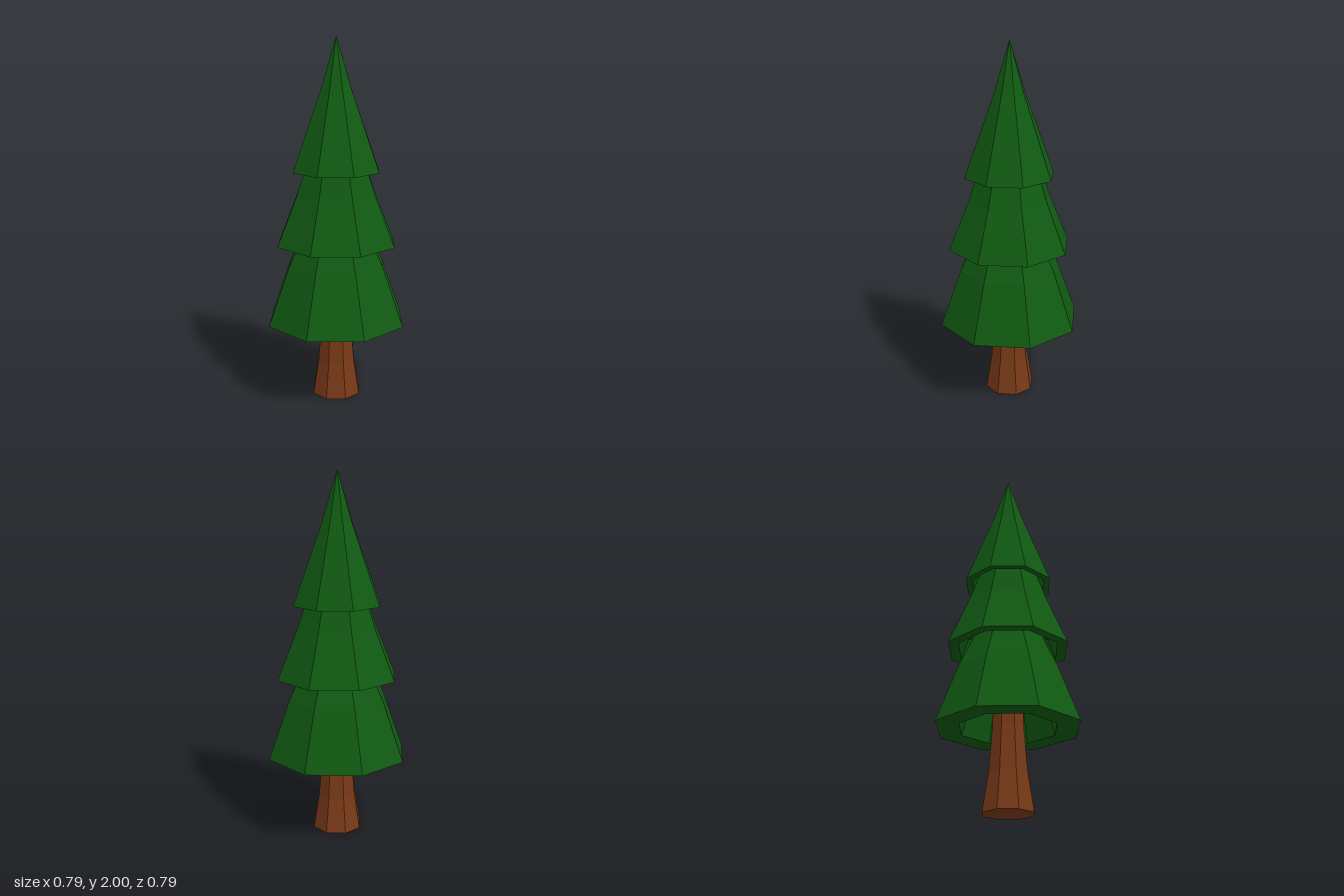
import * as THREE from 'three';

const SIDES = 8;

// Eight-sided faceted solid from a profile of [radius, height] pairs
function facetedLathe(name, profile, material) {
  const points = profile.map(([r, y]) => new THREE.Vector2(r, y));
  const geometry = new THREE.LatheGeometry(points, SIDES).toNonIndexed();
  geometry.computeVertexNormals();
  const mesh = new THREE.Mesh(geometry, material);
  mesh.name = name;
  return mesh;
}

export function createModel() {
  const tree = new THREE.Group();
  tree.name = 'pineTree';
  const bark = new THREE.MeshStandardMaterial({ color: 0x783917, flatShading: true });
  const needles = new THREE.MeshStandardMaterial({ color: 0x105a12, flatShading: true });

  // Trunk, flared at the foot and running up inside the lowest tier
  tree.add(facetedLathe('trunk',
    [[0, 0], [0.14, 0], [0.108, 0.2], [0.088, 0.44], [0.08, 0.72], [0, 0.72]], bark));

  // Foliage tiers: hollow underside, flat rim, then the flared outer slope
  const tiers = [
    { name: 'lowerFoliage', cavity: [[0, 0.7], [0.19, 0.7], [0.27, 0.44]],
      slope: [[0.397, 0.44], [0.28, 0.76], [0.222, 0.885], [0.17, 1.02], [0, 1.02]] },
    { name: 'middleFoliage', cavity: [[0, 1.0], [0.24, 1.0], [0.285, 0.885]],
      slope: [[0.342, 0.885], [0.23, 1.155], [0.185, 1.285], [0.14, 1.4], [0, 1.4]] },
    { name: 'topFoliage', cavity: [[0, 1.38], [0.178, 1.38], [0.215, 1.285]],
      slope: [[0.25, 1.285], [0.085, 1.73], [0, 2]] },
  ];
  for (const { name, cavity, slope } of tiers) {
    tree.add(facetedLathe(name, [...cavity, ...slope], needles));
  }
  return tree;
}
